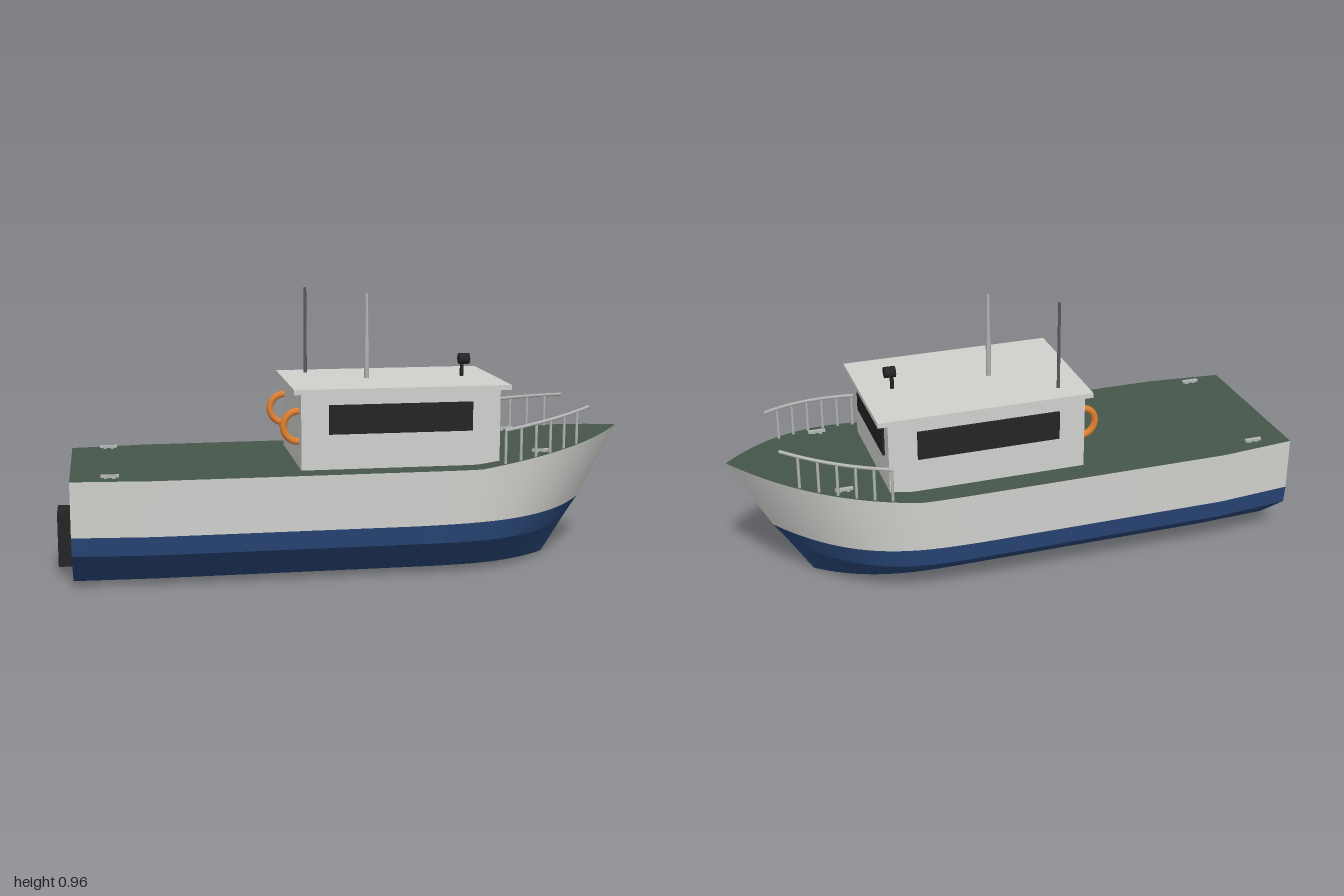
import * as THREE from 'three';

const mat = (name, color, side = THREE.FrontSide) => {
  const m = new THREE.MeshStandardMaterial({ color, side });
  m.name = name;
  return m;
};

export function createModel() {
  const boat = new THREE.Group();
  boat.name = 'boat';
  const white = mat('off white', 0xd0d0cd);
  const blue = mat('antifouling blue', 0x284676);
  const green = mat('deck green', 0x46564a);
  const black = mat('black', 0x242424);
  const metal = mat('rail metal', 0xb4b6b6);
  const darkMetal = mat('dark metal', 0x5a5c5e);
  const orange = mat('lifebuoy orange', 0xe08030);

  const add = (name, geo, material, x = 0, y = 0, z = 0, parent = boat) => {
    const mesh = new THREE.Mesh(geo, material);
    mesh.name = name;
    mesh.position.set(x, y, z);
    parent.add(mesh);
    return mesh;
  };
  const box = (name, m, x0, x1, y0, y1, z0, z1, parent) =>
    add(name, new THREE.BoxGeometry(x1 - x0, y1 - y0, z1 - z0), m,
      (x0 + x1) / 2, (y0 + y1) / 2, (z0 + z1) / 2, parent);
  const rod = (name, m, a, b, r, parent) => {
    const mesh = add(name, new THREE.CylinderGeometry(r, r, a.distanceTo(b), 8), m, 0, 0, 0, parent);
    mesh.position.copy(a).lerp(b, 0.5);
    mesh.quaternion.setFromUnitVectors(new THREE.Vector3(0, 1, 0), b.clone().sub(a).normalize());
    return mesh;
  };

  // Surface between two lines of points
  const strip = (name, m, a, b) => {
    const pos = [], idx = [], n = a.length;
    [...a, ...b].forEach(p => pos.push(p.x, p.y, p.z));
    for (let i = 0; i < n - 1; i++) idx.push(i, i + 1, n + i + 1, i, n + i + 1, n + i);
    const g = new THREE.BufferGeometry();
    g.setAttribute('position', new THREE.Float32BufferAttribute(pos, 3));
    g.setIndex(idx);
    g.computeVertexNormals();
    return add(name, g, m);
  };

  // Hull lines: keel, chine, waterline and sheer
  const START = 0.2;
  const sheerY = x => 0.377 + 0.083 * Math.max(0, (x - 0.42) / 0.58);
  const bowWidth = s => 1 - Math.pow(s, 3.15);
  const levels = [
    { bow: 0.73, half: 0.145, y: () => 0 },
    { bow: 0.81, half: 0.317, y: () => 0.126 },
    { bow: 0.86, half: 0.325, y: (x, s) => 0.19 + 0.01 * s },
    { bow: 1.0, half: 0.328, y: x => sheerY(x) },
  ];
  const hullLine = (l, side) => {
    const pts = [];
    const put = (x, w, s) => pts.push(new THREE.Vector3(x, l.y(x, s), side * l.half * w));
    put(-0.95, 0.92, 0);
    put(-0.68, 1, 0);
    put(-0.25, 1, 0);
    for (let i = 0; i <= 32; i++) {
      const s = i / 32;
      put(START + (l.bow - START) * s, bowWidth(s), s);
    }
    return pts;
  };
  const left = levels.map(l => hullLine(l, 1));
  const right = levels.map(l => hullLine(l, -1));
  ['bilge', 'bootTop', 'topside'].forEach((name, k) => {
    const m = k < 2 ? blue : white;
    strip(name + 'Near', m, left[k], left[k + 1]);
    strip(name + 'Far', m, right[k + 1], right[k]);
    strip(name + 'Transom', m, [right[k][0], left[k][0]], [right[k + 1][0], left[k + 1][0]]);
  });
  strip('hullBottom', blue, right[0], left[0]);
  strip('deck', green, left[3], right[3]);

  // Wheelhouse with roof and windows
  box('cabin', white, -0.185, 0.5, 0.37, 0.637, -0.24, 0.24);
  box('roof', white, -0.21, 0.535, 0.635, 0.652, -0.253, 0.253);
  box('frontWindow', black, 0.499, 0.507, 0.5, 0.605, -0.187, 0.187);
  for (const s of [1, -1]) {
    box('sideWindow', black, -0.092, 0.402, 0.498, 0.597, s * 0.245 - 0.0049, s * 0.245 + 0.0049);
  }

  // Outboard block on the transom
  box('outboard', black, -1, -0.945, 0.033, 0.22, -0.065, 0.065);

  // Masts
  const mastProfile = [[0, 0], [0.009, 0], [0.009, 0.13], [0.006, 0.15], [0.005, 0.298], [0, 0.298]];
  add('mast', new THREE.LatheGeometry(mastProfile.map(p => new THREE.Vector2(...p)), 10), metal, 0.08, 0.652, 0);
  add('antenna', new THREE.CylinderGeometry(0.005, 0.006, 0.308, 8), darkMetal, -0.113, 0.806, -0.173);

  // Searchlight
  add('searchlightPost', new THREE.CylinderGeometry(0.007, 0.007, 0.06, 8), black, 0.423, 0.675, 0);
  add('searchlight', new THREE.CylinderGeometry(0.019, 0.019, 0.038, 18), black, 0.43, 0.713, 0).rotation.z = Math.PI / 2;

  for (const s of [1, -1]) {
    // Half rings on the cabin's aft wall
    add('lifebuoy', new THREE.TorusGeometry(0.052, 0.012, 10, 20, Math.PI), orange, -0.188, 0.521, s * 0.195)
      .rotation.z = Math.PI / 2;

    // Bow railing along the deck edge
    const rail = new THREE.Group();
    rail.name = 'bowRailing';
    boat.add(rail);
    const edge = (x, h) => new THREE.Vector3(x, sheerY(x) + h,
      s * (0.328 * bowWidth((x - START) / 0.8) - 0.013));
    const path = [];
    for (let i = 0; i <= 6; i++) path.push(edge(0.5 + 0.057 * i, 0.115));
    add('topRail', new THREE.TubeGeometry(new THREE.CatmullRomCurve3(path), 24, 0.006, 8), metal, 0, 0, 0, rail);
    for (let i = 0; i < 6; i++) {
      const x = 0.505 + 0.057 * i;
      rod('railPost', metal, edge(x, -0.005), edge(x, 0.115), 0.005, rail);
    }

    // Mooring cleats
    for (const [x, z] of [[-0.82, 0.265], [0.65, 0.225]]) {
      const cleat = new THREE.Group();
      cleat.name = 'cleat';
      cleat.position.set(x, sheerY(x), s * z);
      boat.add(cleat);
      box('cleatBar', metal, -0.03, 0.03, 0.004, 0.013, -0.006, 0.006, cleat);
      for (const e of [-0.013, 0.013]) box('cleatFoot', metal, e - 0.005, e + 0.005, -0.004, 0.006, -0.005, 0.005, cleat);
    }
  }
  return boat;
}
